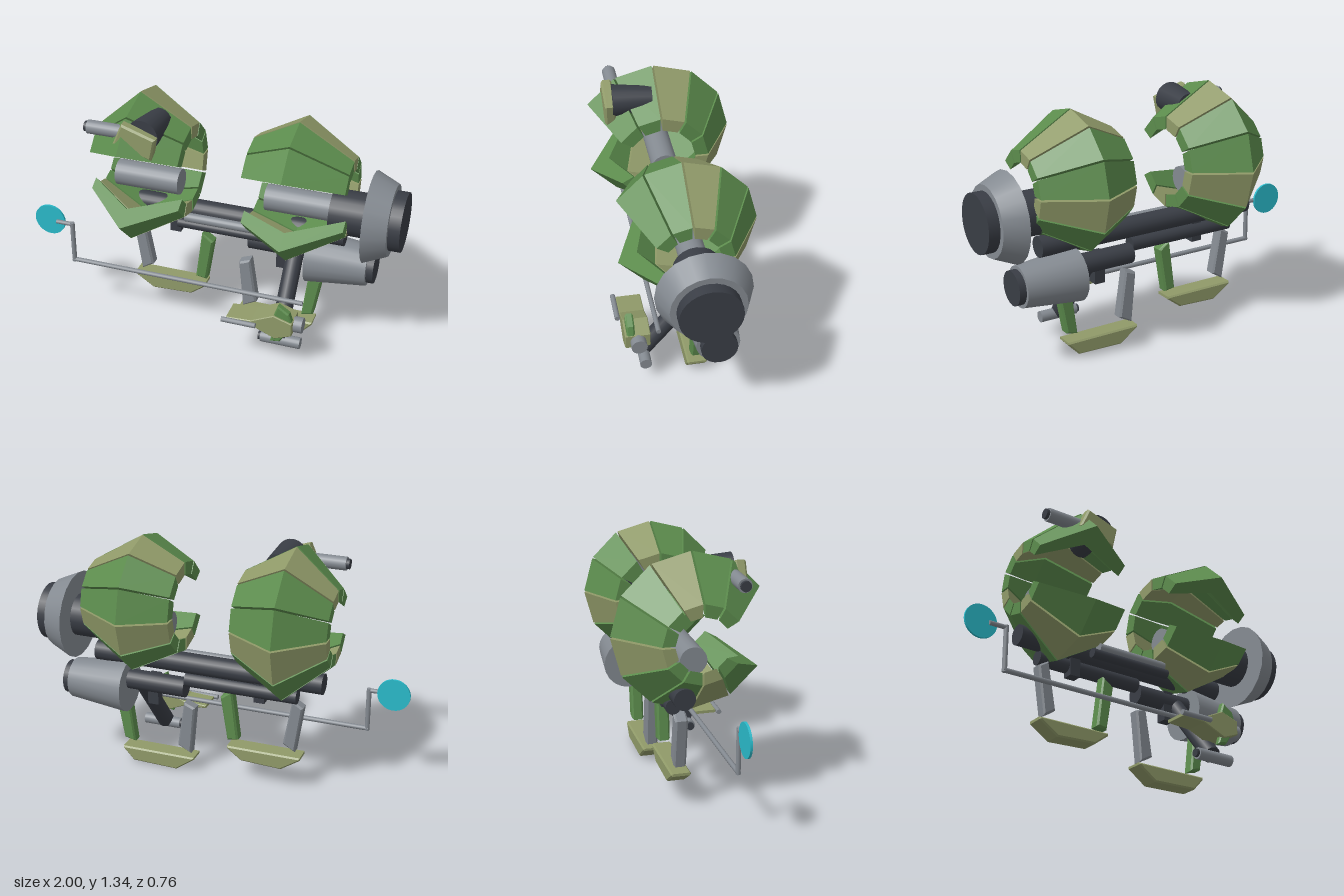
import * as THREE from 'three';

const mat = (name, color, flat = false) => new THREE.MeshStandardMaterial({ name, color, flatShading: flat });

export function createModel() {
  const green = mat('hull green', 0x5c8c4d, true);
  const olive = mat('pale olive', 0x909a69, true);
  const dark = mat('dark steel', 0x393d45);
  const grey = mat('grey metal', 0x848a91);
  const cyan = mat('cyan', 0x2abaca);

  const root = new THREE.Group();
  root.name = 'ship';

  const add = (name, geo, material) => {
    const m = new THREE.Mesh(geo, material);
    m.name = name;
    root.add(m);
    return m;
  };

  // Cylinder or cone between two points
  const bar = (name, a, b, r0, r1, material, sides = 20) => {
    const p = new THREE.Vector3(...a), q = new THREE.Vector3(...b);
    const dir = q.clone().sub(p);
    const m = add(name, new THREE.CylinderGeometry(r1, r0, dir.length(), sides), material);
    m.position.copy(p).lerp(q, 0.5);
    m.quaternion.setFromUnitVectors(new THREE.Vector3(0, 1, 0), dir.normalize());
    return m;
  };
  const barX = (name, x0, x1, y, z, r0, r1, material, sides) =>
    bar(name, [x0, y, z], [x1, y, z], r0, r1, material, sides);

  // Bevelled plate: outline in x/y, spanning z0 to z1
  const slab = (name, pts, z0, z1, material, bevel = 0.01) => {
    const shape = new THREE.Shape(pts.map(p => new THREE.Vector2(...p)));
    const geo = new THREE.ExtrudeGeometry(shape, {
      depth: z1 - z0 - 2 * bevel, bevelEnabled: true, bevelThickness: bevel,
      bevelSize: bevel, bevelOffset: -bevel, bevelSegments: 1,
    });
    geo.translate(0, 0, z0 + bevel);
    return add(name, geo, material);
  };

  // One chevron-section armour panel swept between two angles around x
  const panelGeometry = (profile, a0, a1) => {
    const mid = (a0 + a1) / 2, shift = 0.02;
    const point = (i, a) => {
      const [x, r] = profile[i % 6];
      const rr = r - shift;
      return [x, 0.93 + rr * Math.sin(a) + shift * Math.sin(mid),
        0.03 + rr * Math.cos(a) + shift * Math.cos(mid)];
    };
    const pos = [];
    const quad = (a, b, c, d) => pos.push(...a, ...b, ...c, ...a, ...c, ...d);
    for (let i = 0; i < 6; i++) quad(point(i, a0), point(i + 1, a0), point(i + 1, a1), point(i, a1));
    for (const [a, b, c, d] of [[0, 1, 4, 5], [1, 2, 3, 4]]) {
      quad(point(a, a1), point(b, a1), point(c, a1), point(d, a1));
      quad(point(d, a0), point(c, a0), point(b, a0), point(a, a0));
    }
    const geo = new THREE.BufferGeometry();
    geo.setAttribute('position', new THREE.Float32BufferAttribute(pos, 3));
    geo.computeVertexNormals();
    return geo;
  };

  // Two open ring shells of ten panels, gap facing forward
  const shells = {
    rightShell: [[-0.625, 0.205], [-0.4, 0.41], [-0.128, 0.25], [-0.128, 0.18], [-0.4, 0.29], [-0.625, 0.14]],
    leftShell: [[0.208, 0.25], [0.443, 0.375], [0.727, 0.205], [0.727, 0.14], [0.443, 0.265], [0.208, 0.18]],
  };
  for (const [name, profile] of Object.entries(shells)) {
    for (let k = 1; k <= 10; k++) {
      const isOlive = k === 3 || k === 6 || k === 9;
      add(name + 'Panel' + k, panelGeometry(profile, k * Math.PI / 6, (k + 1) * Math.PI / 6),
        isOlive ? olive : green);
    }
  }

  // Cores inside the shells
  barX('rightCore', -0.555, -0.2, 0.83, 0, 0.07, 0.07, grey);
  barX('leftCore', 0.275, 0.63, 0.83, 0, 0.07, 0.07, grey);

  // Main engine
  barX('engineShaft', 0.625, 0.83, 0.815, -0.005, 0.117, 0.117, dark);
  barX('engineBell', 0.82, 0.94, 0.815, -0.005, 0.24, 0.187, grey);
  barX('engineNozzle', 0.93, 1.0, 0.815, -0.005, 0.155, 0.155, dark, 28);

  // Lower engine
  barX('lowerEngineShaft', 0.165, 0.5, 0.51, -0.075, 0.055, 0.055, dark);
  barX('lowerEngineBell', 0.495, 0.82, 0.47, -0.082, 0.145, 0.11, grey);
  barX('lowerEngineNozzle', 0.81, 0.857, 0.47, -0.082, 0.092, 0.092, dark);

  // Cross spars and pipes
  barX('mainSpar', -0.59, 0.69, 0.645, -0.052, 0.056, 0.056, dark);
  barX('lowerSpar', -0.457, 0.165, 0.56, -0.075, 0.04, 0.04, dark);
  barX('greyPipe', -0.16, 0.26, 0.65, 0.05, 0.025, 0.025, grey);
  barX('darkPipe', -0.2, 0.28, 0.61, 0.05, 0.026, 0.026, dark);
  for (const x of [-0.25, 0.355]) {
    const post = add('sparPost', new THREE.BoxGeometry(0.06, 0.17, 0.06), dark);
    post.position.set(x, x < 0 ? 0.58 : 0.47, -0.06);
  }

  // Landing skids with two struts each
  slab('rightSkid', [[-0.48, 0.205], [-0.48, 0.19], [-0.375, 0.12], [-0.15, 0.13], [-0.07, 0.19], [-0.07, 0.205]],
    -0.09, 0.015, olive, 0.008);
  slab('leftSkid', [[0.125, 0.09], [0.125, 0.077], [0.228, 0.003], [0.485, 0.01], [0.547, 0.077], [0.547, 0.09]],
    -0.09, 0.015, olive, 0.008);
  slab('rightOuterStrut', [[-0.425, 0.525], [-0.485, 0.49], [-0.445, 0.225], [-0.378, 0.265]], -0.07, -0.003, grey);
  slab('rightInnerStrut', [[-0.09, 0.525], [-0.127, 0.24], [-0.065, 0.23], [-0.025, 0.48]], -0.07, -0.003, green);
  slab('leftInnerStrut', [[0.185, 0.41], [0.122, 0.385], [0.148, 0.105], [0.225, 0.145]], -0.07, -0.003, grey);
  slab('leftOuterStrut', [[0.515, 0.4], [0.48, 0.12], [0.545, 0.135], [0.585, 0.36]], -0.07, -0.003, green);

  // Forward boom with end roller
  bar('boom', [0.423, 0.49, -0.06], [0.423, 0.125, 0.235], 0.047, 0.047, dark);
  barX('boomRoller', 0.33, 0.545, 0.115, 0.235, 0.031, 0.031, grey);
  barX('boomRollerTip', 0.315, 0.33, 0.115, 0.235, 0.022, 0.022, dark);

  // Lower gun
  slab('lowerGunBody', [[0.165, 0.268], [0.165, 0.252], [0.3, 0.245], [0.43, 0.19], [0.52, 0.225],
    [0.52, 0.3], [0.42, 0.332], [0.3, 0.275]], 0.205, 0.338, olive, 0.004);
  barX('lowerGunBarrel', 0.145, 0.33, 0.26, 0.352, 0.014, 0.014, grey, 12);
  barX('lowerGunCap', 0.5, 0.565, 0.26, 0.27, 0.042, 0.042, grey);
  slab('lowerGunTopFin', [[0.41, 0.3], [0.52, 0.29], [0.5, 0.35], [0.44, 0.39]], 0.285, 0.328, green, 0.008);
  slab('lowerGunBottomFin', [[0.4, 0.157], [0.455, 0.165], [0.49, 0.22], [0.42, 0.22]], 0.29, 0.325, green, 0.008);

  // Upper gun on the right shell
  bar('upperGunDrum', [-0.29, 1.21, 0.055], [-0.305, 1.21, 0.262], 0.066, 0.086, dark);
  slab('upperGunPlate', [[-0.4, 1.28], [-0.45, 1.165], [-0.245, 1.1], [-0.22, 1.22]], 0.25, 0.308, olive);
  barX('upperGunBarrel', -0.608, -0.4, 1.205, 0.238, 0.036, 0.036, grey);
  barX('upperGunTip', -0.625, -0.607, 1.205, 0.238, 0.027, 0.027, dark);

  // Antenna arm and dish
  barX('antennaRod', -0.785, 0.53, 0.32, 0.165, 0.013, 0.013, grey, 10);
  bar('antennaRiser', [-0.777, 0.31, 0.165], [-0.777, 0.555, 0.165], 0.013, 0.013, grey, 10);
  barX('antennaArm', -0.87, -0.77, 0.545, 0.165, 0.012, 0.012, grey, 10);
  bar('antennaDish', [-0.912, 0.545, 0.148], [-0.912, 0.545, 0.16], 0.088, 0.088, cyan, 32);

  return root;
}
